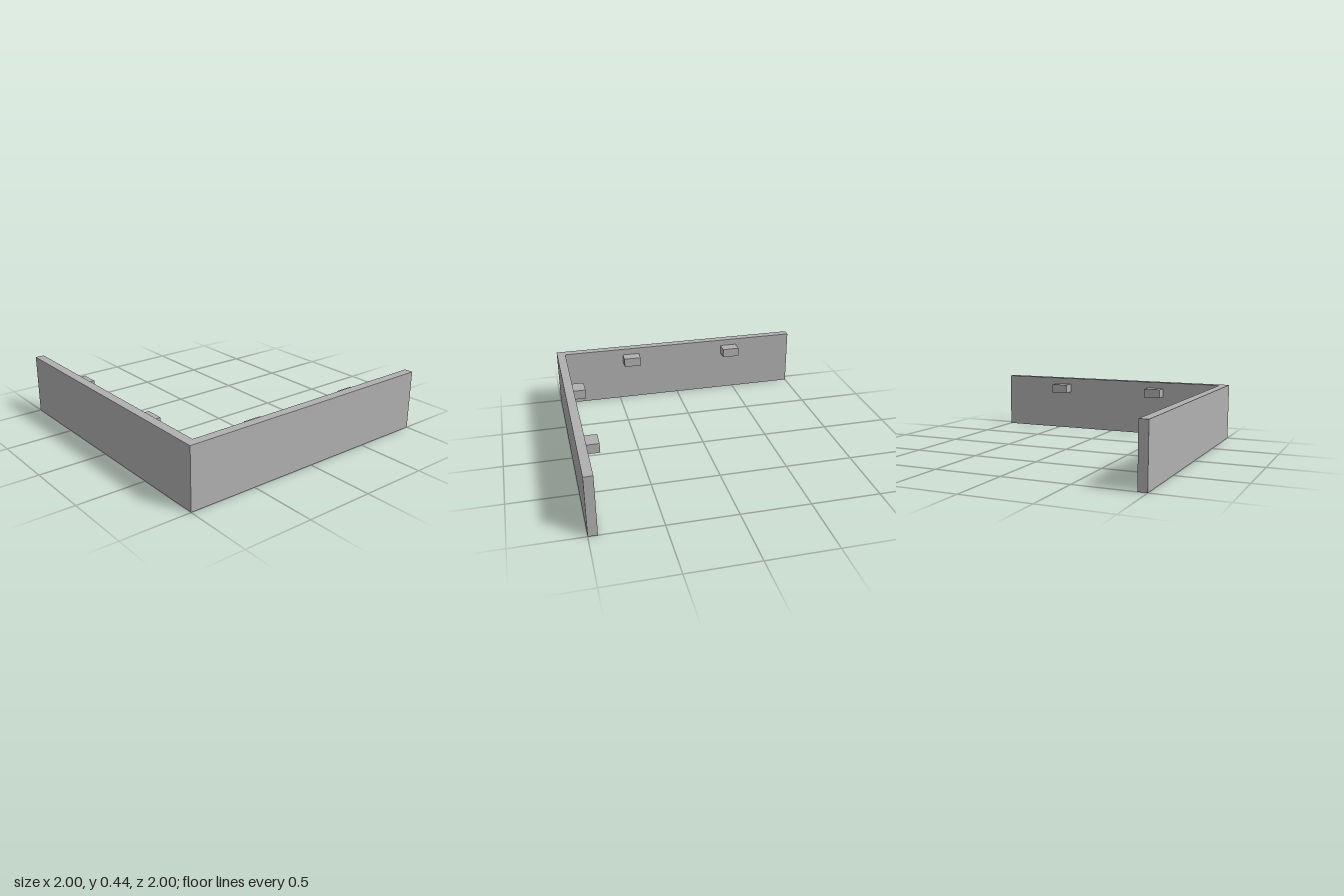
import * as THREE from 'three';

export function createModel() {
  const group = new THREE.Group();
  const grey = new THREE.MeshStandardMaterial({ color: 0xb0b0b0 });
  grey.name = 'grey';

  const height = 0.44;
  const inner = 0.935; // inner face of the walls

  // L-shaped corner wall: plan outline (x, z) extruded to full height
  const plan = new THREE.Shape([
    [-1, -1], [-inner, -1], [-inner, inner], [1, inner], [1, 1], [-1, 1],
  ].map(([x, z]) => new THREE.Vector2(x, z)));
  const wallGeometry = new THREE.ExtrudeGeometry(plan, { depth: height, bevelEnabled: false });
  wallGeometry.rotateX(Math.PI / 2).translate(0, height, 0);
  const wall = new THREE.Mesh(wallGeometry, grey);
  wall.name = 'cornerWall';
  group.add(wall);

  // Small blocks on the inner faces, two per wall
  const length = 0.135, rise = 0.07, depth = 0.095;
  const addBlock = (name, w, d, x, z) => {
    const block = new THREE.Mesh(new THREE.BoxGeometry(w, rise, d), grey);
    block.name = name;
    block.position.set(x, 0.355, z);
    group.add(block);
  };
  const offset = inner - depth / 2;
  for (const along of [-0.3925, 0.4575]) {
    addBlock('frontWallBlock', length, depth, along, offset);
    addBlock('sideWallBlock', depth, length, -offset, -along);
  }

  return group;
}
